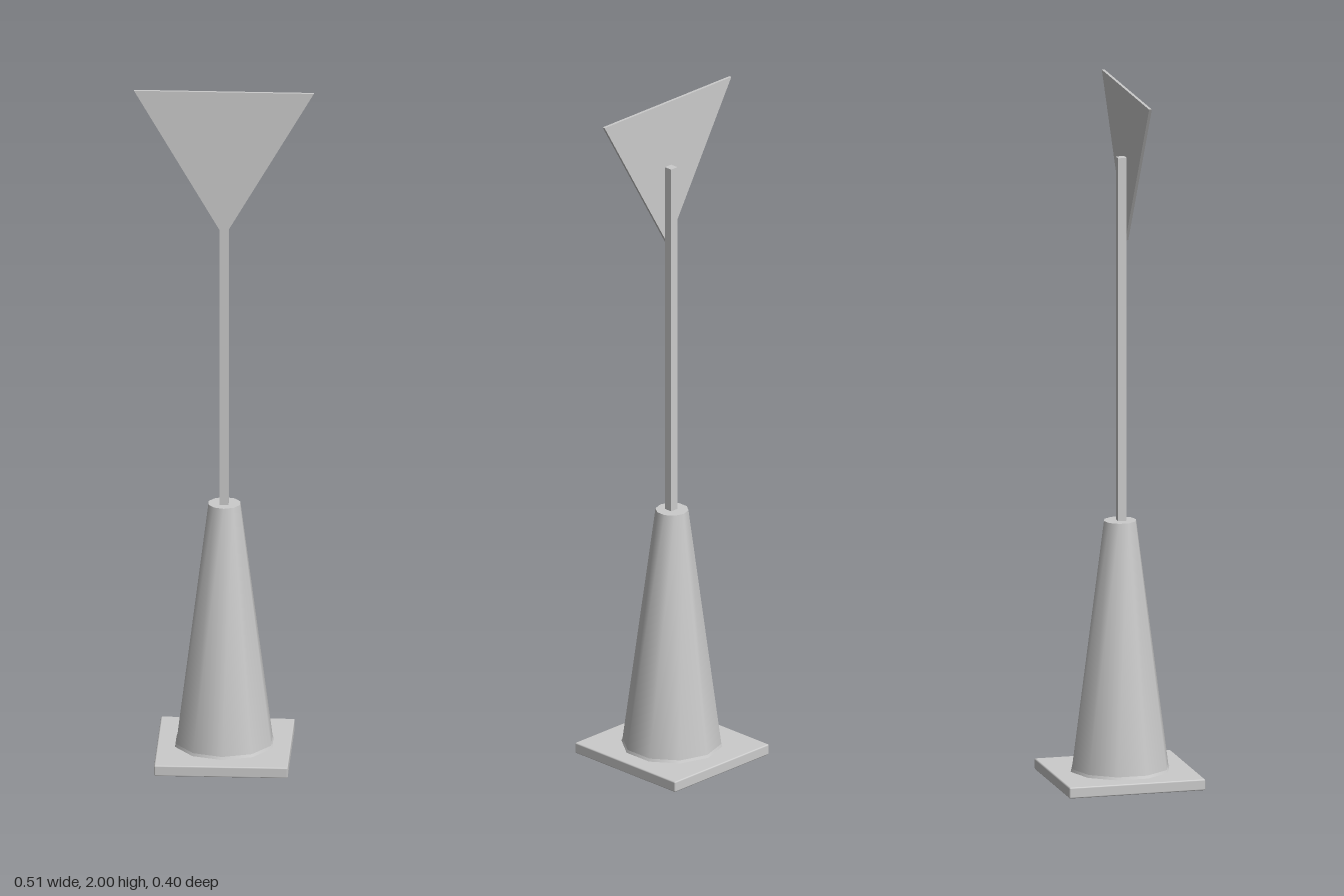
import * as THREE from 'three';
import { RoundedBoxGeometry } from 'three/addons/geometries/RoundedBoxGeometry.js';

const material = new THREE.MeshStandardMaterial({ color: 0xcccccc });

export function createModel() {
  const group = new THREE.Group();

  const add = (name, geometry, x, y, z) => {
    const mesh = new THREE.Mesh(geometry, material);
    mesh.name = name;
    mesh.position.set(x, y, z);
    group.add(mesh);
  };

  // Ten-sided section with smooth sides, placed by its bottom and top heights
  const section = (name, rTop, rBottom, y0, y1, open) =>
    add(name, new THREE.CylinderGeometry(rTop, rBottom, y1 - y0, 10, 1, open), 0, (y0 + y1) / 2, 0);

  // Foot plate with softened edges
  add('basePlate', new RoundedBoxGeometry(0.378, 0.032, 0.398, 1, 0.004), 0, 0.016, 0);

  // Cone body and the narrow lip where it meets the plate
  section('coneLip', 0.141, 0.145, 0.03, 0.04, true);
  section('coneBody', 0.047, 0.141, 0.04, 0.753, false);

  // Square pole standing in the cone
  add('pole', new THREE.BoxGeometry(0.025, 1.107, 0.025), 0, 1.2515, 0.0035);

  // Thin triangular sign, point down, fixed to the front of the pole
  const triangle = new THREE.Shape([
    new THREE.Vector2(0, 1.563),
    new THREE.Vector2(0.254, 2),
    new THREE.Vector2(-0.254, 2),
  ]);
  add('signPanel', new THREE.ExtrudeGeometry(triangle, { depth: 0.008, bevelEnabled: false }), 0, 0, 0.016);

  return group;
}
